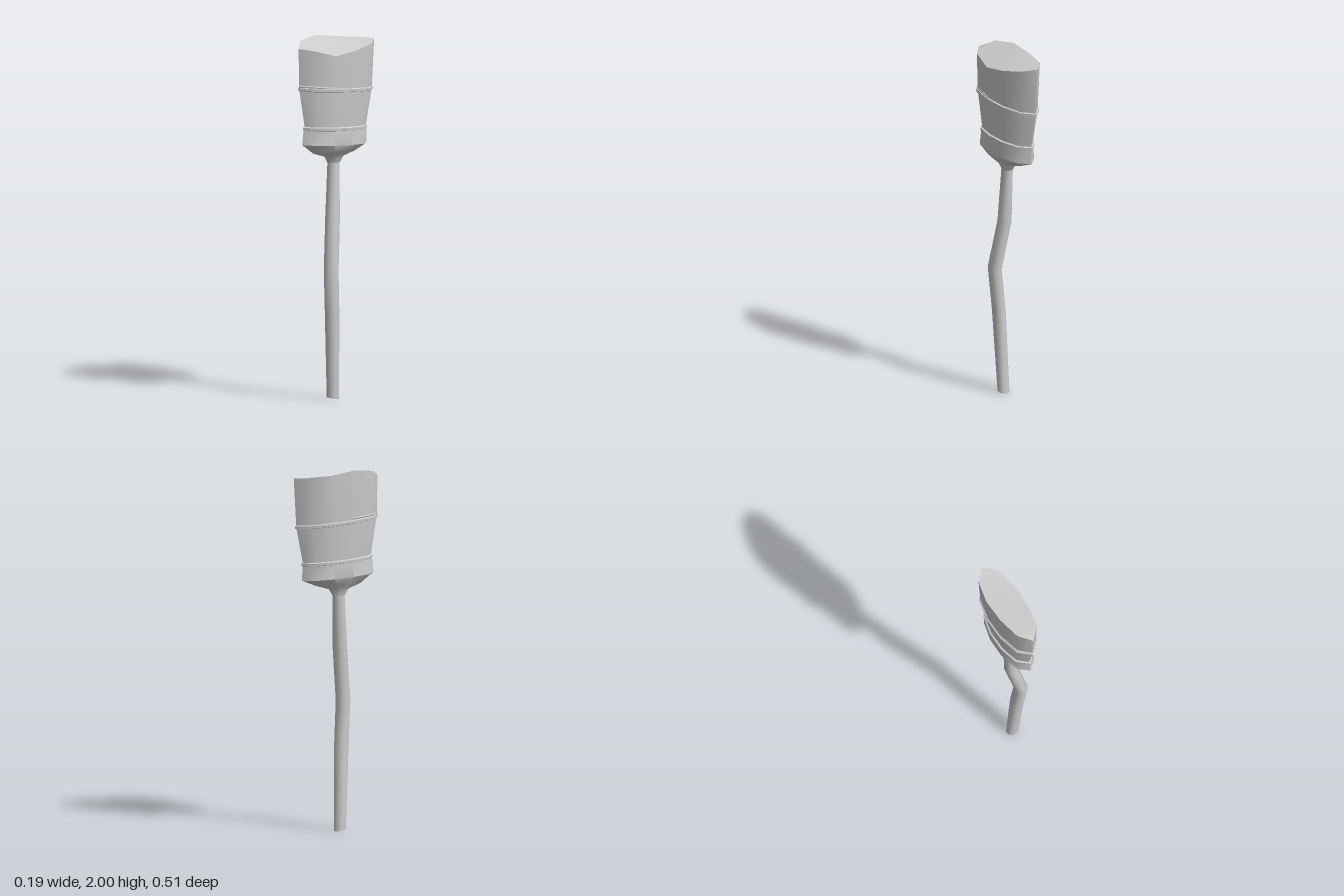
import * as THREE from 'three';
import { toCreasedNormals } from 'three/addons/utils/BufferGeometryUtils.js';

const N = 10;
// Half outline of the head, pointed at both z ends; the other half is mirrored
const HALF = [[0, 1], [0.68, 0.76], [1, 0.27], [1, -0.27], [0.68, -0.76], [0, -1]];
const OUTLINE = [...HALF, ...HALF.slice(1, 5).reverse().map(([x, z]) => [-x, z])];

// Ring: height y, half sizes rx and rz, centre cx and cz, tilt along z, round = 0..1 blend to an ellipse
function ring({ y, rx, rz, cx = 0, cz = 0, tilt = 0, round = 0 }) {
  return OUTLINE.map(([px, pz], i) => {
    const a = (i / N) * Math.PI * 2;
    const x = THREE.MathUtils.lerp(px, Math.sin(a), round) * rx;
    const z = THREE.MathUtils.lerp(pz, Math.cos(a), round) * rz;
    return new THREE.Vector3(cx + x, y + z * tilt, cz + z);
  });
}

// Skins rings from bottom to top; caps are strips between mirrored points
function loft(rings, capBottom, capTop, crease) {
  const index = [];
  for (let j = 0; j < rings.length - 1; j++) {
    for (let i = 0; i < N; i++) {
      const a = j * N + i, b = j * N + (i + 1) % N;
      index.push(a, b, b + N, a, b + N, a + N);
    }
  }
  const cap = (base, up) => {
    const tri = (a, b, c) => index.push(base + a, base + (up ? b : c), base + (up ? c : b));
    tri(0, 1, 9);
    for (let i = 1; i < 4; i++) {
      tri(i, i + 1, N - i);
      tri(i + 1, N - i - 1, N - i);
    }
    tri(4, 5, 6);
  };
  if (capBottom) cap(0, false);
  if (capTop) cap((rings.length - 1) * N, true);
  const geo = new THREE.BufferGeometry();
  geo.setAttribute('position', new THREE.Float32BufferAttribute(rings.flat().flatMap(p => p.toArray()), 3));
  geo.setIndex(index);
  return toCreasedNormals(geo, crease);
}

export function createModel() {
  const group = new THREE.Group();
  const mat = new THREE.MeshStandardMaterial({ color: 0xcccccc });
  const add = (name, geo) => {
    const mesh = new THREE.Mesh(geo, mat);
    mesh.name = name;
    group.add(mesh);
  };

  // Crooked wooden handle
  add('handle', loft([
    { y: 0.008, rx: 0.035, rz: 0.033, cx: 0.01, cz: 0.027, tilt: 0.2 },
    { y: 0.48, rx: 0.037, rz: 0.041, cx: 0.028, cz: 0.045 },
    { y: 0.72, rx: 0.036, rz: 0.042, cx: 0.043, cz: 0.062, tilt: 0.1 },
    { y: 1.0, rx: 0.038, rz: 0.041, cx: 0.004, cz: 0.025 },
    { y: 1.33, rx: 0.029, rz: 0.034, cx: -0.005, cz: 0.012 },
  ].map(r => ring({ ...r, round: 1 })), true, true, 0.8));

  // Ferrule flaring out of the handle
  add('ferrule', loft([
    { y: 1.305, rx: 0.032, rz: 0.037, cx: -0.005, cz: 0.012, round: 1 },
    { y: 1.34, rx: 0.042, rz: 0.058, cx: -0.003, cz: 0.012, round: 0.8 },
    { y: 1.365, rx: 0.06, rz: 0.14, cz: 0.012, round: 0.2 },
    { y: 1.408, rx: 0.084, rz: 0.215, cz: 0.01, tilt: 0.05 },
    { y: 1.49, rx: 0.079, rz: 0.21, cz: 0.006, tilt: 0.05 },
  ].map(ring), true, true, 0.6));

  // Bristle block with a ragged, sloping top edge
  const topY = [1.95, 1.94, 1.905, 1.925, 1.95, 1.965, 1.97, 1.98, 2.0, 1.985];
  const top = ring({ y: 0, rx: 0.095, rz: 0.253, cz: -0.003 });
  top.forEach((p, i) => { p.y = topY[i]; });
  add('bristles', loft([
    ring({ y: 1.48, rx: 0.073, rz: 0.2, cz: 0.004, tilt: 0.05 }),
    ring({ y: 1.705, rx: 0.088, rz: 0.242, cz: 0.002, tilt: 0.06 }),
    top,
  ], true, true, 0.6));

  // Raised binding bands
  const band = (name, y, rx, rz, cz, tilt) => add(name, loft(
    [[-0.013, -0.006], [-0.008, 0.008], [0.006, 0.009], [0.013, -0.006]]
      .map(([dy, out]) => ring({ y: y + dy, rx: rx + out, rz: rz + out, cz, tilt })),
    false, false, 0.6));
  band('lowerBand', 1.497, 0.076, 0.205, 0.005, 0.05);
  band('upperBand', 1.712, 0.088, 0.242, 0.003, 0.07);
  // Loose end of the cord on the upper band, on the front half
  const cord = new THREE.CatmullRomCurve3([
    [-0.09, 1.735, 0.06], [-0.061, 1.742, 0.187], [0, 1.742, 0.245], [0.061, 1.74, 0.187], [0.09, 1.725, 0.06],
  ].map(p => new THREE.Vector3(...p)), false, 'catmullrom', 0);
  add('cord', new THREE.TubeGeometry(cord, 16, 0.006, 5));

  return group;
}
